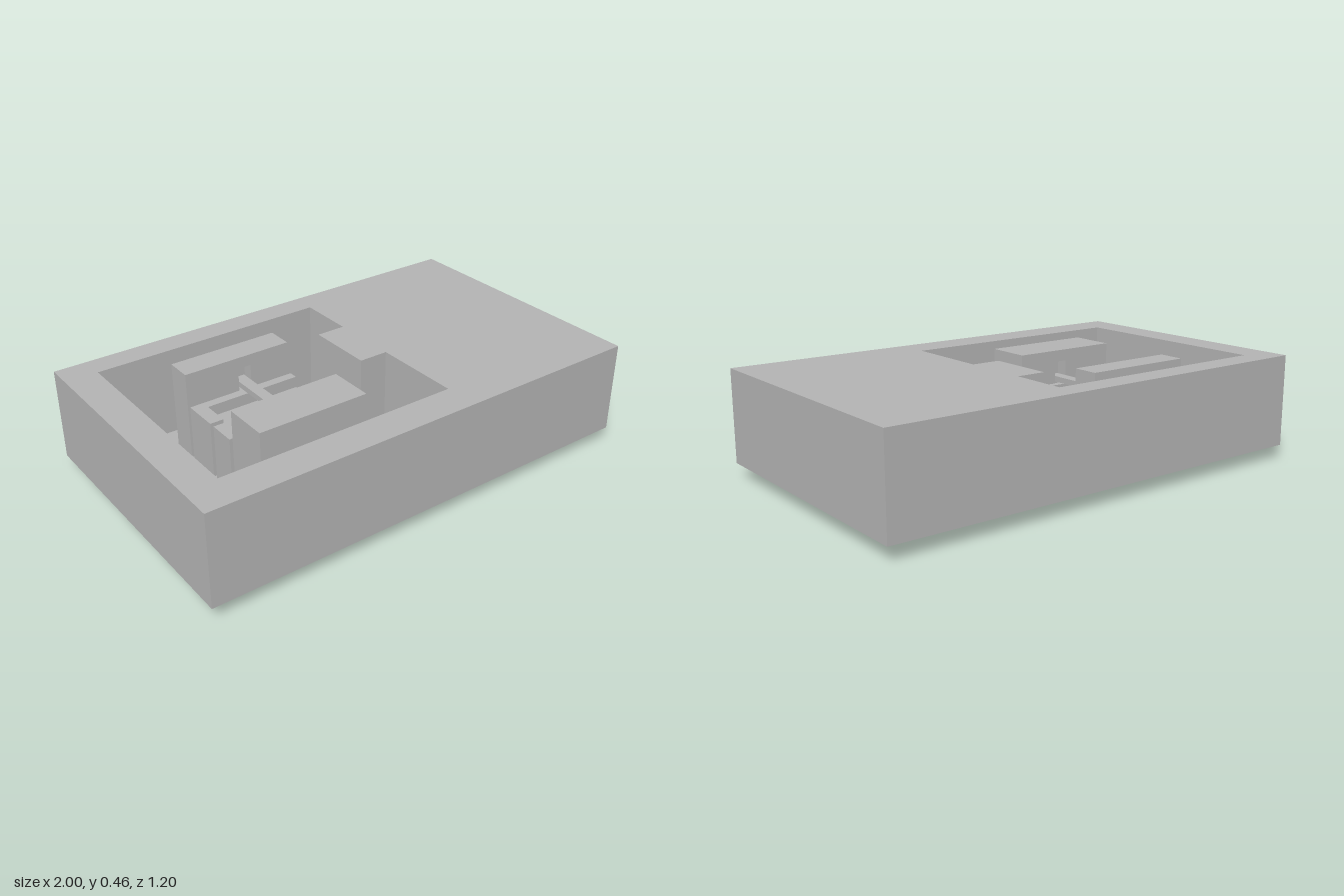
import * as THREE from 'three';

const grey = new THREE.MeshStandardMaterial({ color: 0xb2b2b2 });
grey.name = 'plain grey';

function add(group, name, geometry) {
  const mesh = new THREE.Mesh(geometry, grey);
  mesh.name = name;
  group.add(mesh);
  return mesh;
}

// Box given by its limits on each axis
function box(group, name, x0, x1, y0, y1, z0, z1) {
  const g = new THREE.BoxGeometry(x1 - x0, y1 - y0, z1 - z0);
  g.translate((x0 + x1) / 2, (y0 + y1) / 2, (z0 + z1) / 2);
  return add(group, name, g);
}

const outline = (points) => points.map(([a, b]) => new THREE.Vector2(a, b));
const rect = (x0, x1, y0, y1) => outline([[x0, y0], [x1, y0], [x1, y1], [x0, y1]]);

// Upright slice with a square socket for the crossbar
function socketSlice(group, name, z0, z1) {
  const shape = new THREE.Shape(rect(-0.59, -0.1, 0.07, 0.46));
  shape.holes.push(new THREE.Path(rect(-0.345, -0.285, 0.3, 0.41)));
  const g = new THREE.ExtrudeGeometry(shape, { depth: z1 - z0, bevelEnabled: false });
  g.translate(0, 0, z0);
  add(group, name, g);
}

export function createModel() {
  const model = new THREE.Group();
  model.name = 'moldBlock';

  // Body with an open pocket; a tongue juts into the pocket from one side
  const body = new THREE.Shape(rect(-1, 1, -0.6, 0.6));
  body.holes.push(new THREE.Path(outline([
    [-0.86, -0.45], [0.18, -0.45], [0.18, -0.06], [0.05, -0.06],
    [0.05, 0.24], [0.18, 0.24], [0.18, 0.49], [-0.86, 0.49],
  ])));
  const walls = new THREE.ExtrudeGeometry(body, { depth: 0.39, bevelEnabled: false });
  walls.rotateX(-Math.PI / 2).translate(0, 0.07, 0);
  add(model, 'body', walls);
  box(model, 'pocketFloor', -1, 1, 0.06, 0.07, -0.6, 0.6);
  box(model, 'foot', -0.67, 0, 0, 0.06, -0.32, 0.145);

  // Two upright blocks with facing sockets
  box(model, 'backBlock', -0.59, -0.1, 0.07, 0.46, -0.375, -0.31);
  socketSlice(model, 'backSocket', -0.31, -0.26);
  box(model, 'frontBlock', -0.59, -0.1, 0.07, 0.46, 0.14, 0.29);
  socketSlice(model, 'frontSocket', 0.09, 0.14);

  // Low stepped trays between the blocks, open towards the tongue
  for (const [z0, z1, floor0, floor1] of [[-0.24, -0.08, -0.2, -0.08], [-0.055, 0.065, -0.055, 0.035]]) {
    const tray = new THREE.Group();
    tray.name = 'tray';
    model.add(tray);
    box(tray, 'trayFloor', -0.53, -0.1, 0.07, 0.27, floor0, floor1);
    box(tray, 'trayEnd', -0.59, -0.53, 0.07, 0.32, z0, z1);
    if (floor0 > z0) box(tray, 'trayRail', -0.53, -0.1, 0.07, 0.32, z0, floor0);
    if (floor1 < z1) box(tray, 'trayRail', -0.53, -0.1, 0.07, 0.32, floor1, z1);
  }

  // Bar linking the two sockets
  box(model, 'crossbar', -0.34, -0.29, 0.32, 0.345, -0.31, 0.14);
  return model;
}
